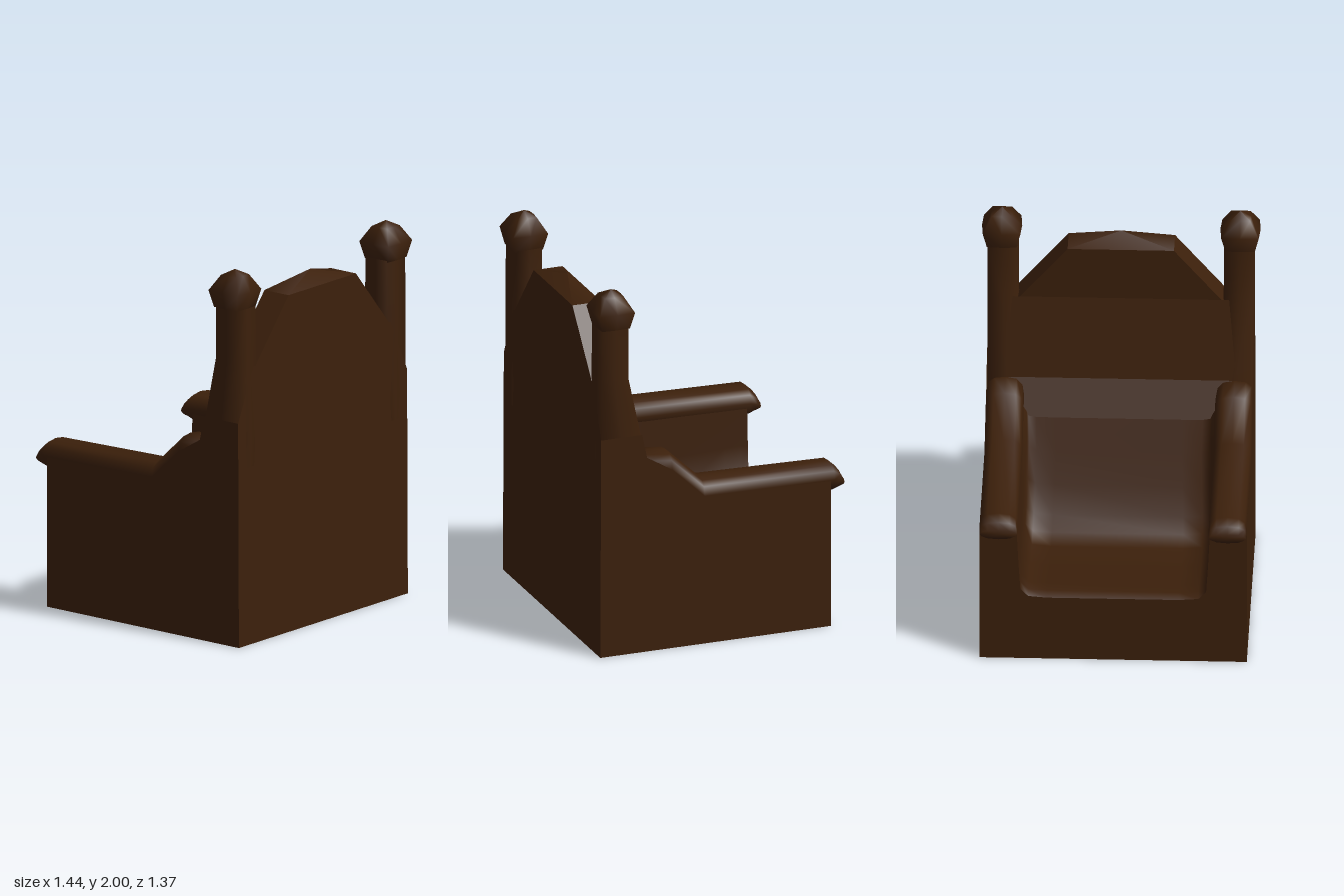
import * as THREE from 'three';

const wood = new THREE.MeshStandardMaterial({ color: 0x3c200b, side: THREE.DoubleSide });
wood.name = 'dark brown wood';

// Surface through rows of [x, y, z] points; closed joins each row into a ring
function loft(rows, closed = false) {
  const n = rows[0].length, index = [];
  for (let r = 0; r < rows.length - 1; r++) {
    for (let i = 0; i < (closed ? n : n - 1); i++) {
      const j = (i + 1) % n;
      const a = r * n + i, b = r * n + j, c = a + n, d = b + n;
      index.push(a, b, d, a, d, c);
    }
  }
  const geo = new THREE.BufferGeometry();
  geo.setAttribute('position', new THREE.Float32BufferAttribute(rows.flat(2), 3));
  geo.setIndex(index);
  geo.computeVertexNormals();
  return geo;
}

// Panel spanning the width, from profile points [y, z, halfWidth]
const panel = (profile) => loft(profile.map(([y, z, w]) => [[w, y, z], [-w, y, z]]));

const shape = (points) => new THREE.Shape(points.map(([x, y]) => new THREE.Vector2(x, y)));

// Rounded-square ring, as pairs between -1 and 1
function roundedSquare(n, power) {
  return Array.from({ length: n }, (_, i) => {
    const a = (i / n) * Math.PI * 2;
    return [Math.cos(a), Math.sin(a)].map((v) =>
      Math.abs(v) < 1e-6 ? 0 : Math.sign(v) * Math.abs(v) ** power);
  });
}

// Trough-shaped section of the seat: floor in the middle, curving up to the arms
function seatSection([z, floor, top, edge]) {
  const rise = top - floor;
  const half = [
    [0.5, top], [edge, floor + rise * 0.5], [edge - 0.01, floor + rise * 0.12],
    [edge - 0.05, floor + rise * 0.02], [edge - 0.15, floor],
  ];
  return [...half, ...half.map(([x, y]) => [-x, y]).reverse()].map(([x, y]) => [x, y, z]);
}

export function createModel() {
  const group = new THREE.Group();
  const add = (name, geo, parent = group) => {
    const mesh = new THREE.Mesh(geo, wood);
    mesh.name = name;
    parent.add(mesh);
  };

  // Hollow body, open underneath
  add('rearPanel', panel([[0, 0.67, 0.69], [1.2, 0.665, 0.69], [1.48, 0.662, 0.56]]));
  add('upperBackrest', panel([[1.51, 0.502, 0.56], [1.08, 0.41, 0.6]]));
  add('lowerBackrest', panel([[1.08, 0.41, 0.6], [0.9, 0.31, 0.58]]));

  // Reclined seat and inner arm walls in one smooth hollow: [z, floor y, wall top y, wall x]
  const seat = [
    [0.31, 0.9, 0.97, 0.48], [0.24, 0.74, 0.94, 0.475], [0.17, 0.58, 0.88, 0.48],
    [0.1, 0.44, 0.81, 0.485], [0.04, 0.37, 0.8, 0.488], [-0.05, 0.34, 0.79, 0.49],
    [-0.25, 0.345, 0.79, 0.49], [-0.48, 0.375, 0.78, 0.49], [-0.57, 0.385, 0.78, 0.49],
    [-0.61, 0.365, 0.78, 0.49],
  ].map(seatSection);
  add('seat', loft(seat));

  // Front face, cut out along the seat section
  const lip = seat[seat.length - 1].map(([x, y]) => [x, y]);
  const front = shape([[-0.69, 0], [0.69, 0], [0.69, 0.79], ...lip, [-0.69, 0.79]]);
  add('frontPanel', new THREE.ShapeGeometry(front).translate(0, 0, -0.61));

  // Headrest with sloping shoulders and a low peaked top
  const head = shape([
    [-0.55, 1.3], [0.55, 1.3], [0.55, 1.475], [0.275, 1.8], [-0.275, 1.8], [-0.55, 1.475],
  ]);
  const headGeo = new THREE.ExtrudeGeometry(head, { depth: 0.16, bevelEnabled: false });
  add('headrest', headGeo.translate(0, 0, 0.502));
  const peak = new THREE.ConeGeometry(Math.SQRT1_2, 1, 4, 1, true);
  add('headrestPeak', peak.rotateY(Math.PI / 4).scale(0.55, 0.07, 0.16).translate(0, 1.835, 0.582));

  const pad = roundedSquare(12, 0.75);
  const square = roundedSquare(8, 0.2);
  for (const side of [1, -1]) {
    const half = new THREE.Group();
    half.name = side > 0 ? 'leftSide' : 'rightSide';
    group.add(half);

    // Outer wall, drawn in the z-y plane
    const wall = shape([
      [-0.67, 0], [0.61, 0], [0.61, 0.8], [-0.09, 0.815], [-0.27, 0.985],
      [-0.41, 1.07], [-0.437, 1.2], [-0.665, 1.2],
    ]);
    add('outerWall', new THREE.ShapeGeometry(wall).rotateY(Math.PI / 2)
      .translate(side * 0.69, 0, 0), half);

    // Padded armrest: [z, y, half width, half height]
    add('armrest', loft([
      [0.42, 1.0, 0, 0], [0.41, 1.0, 0.098, 0.08], [0.27, 0.985, 0.098, 0.08],
      [0.09, 0.815, 0.098, 0.08], [-0.63, 0.804, 0.098, 0.075],
      [-0.667, 0.795, 0.098, 0.05], [-0.685, 0.785, 0.096, 0.022], [-0.685, 0.785, 0, 0],
    ].map(([z, y, w, h]) => pad.map(([u, v]) => [side * (0.592 + u * w), y + v * h, z])), true), half);

    // Corner post: [y, centre x, centre z, half width, half depth]
    add('cornerPost', loft([
      [0.95, 0.59, 0.526, 0.1, 0.143], [1.08, 0.59, 0.539, 0.1, 0.13],
      [1.52, 0.61, 0.585, 0.081, 0.078], [1.81, 0.611, 0.584, 0.081, 0.076],
    ].map(([y, x, z, w, d]) => square.map(([u, v]) => [side * (x + u * w), y, z + v * d])), true), half);

    // Pointed finial: [y, half size]
    add('finial', loft([[1.8, 0.082], [1.89, 0.104], [1.97, 0.055], [2, 0]]
      .map(([y, s]) => square.map(([u, v]) => [side * (0.616 + u * s), y, 0.583 + v * s])), true), half);
  }
  return group;
}
